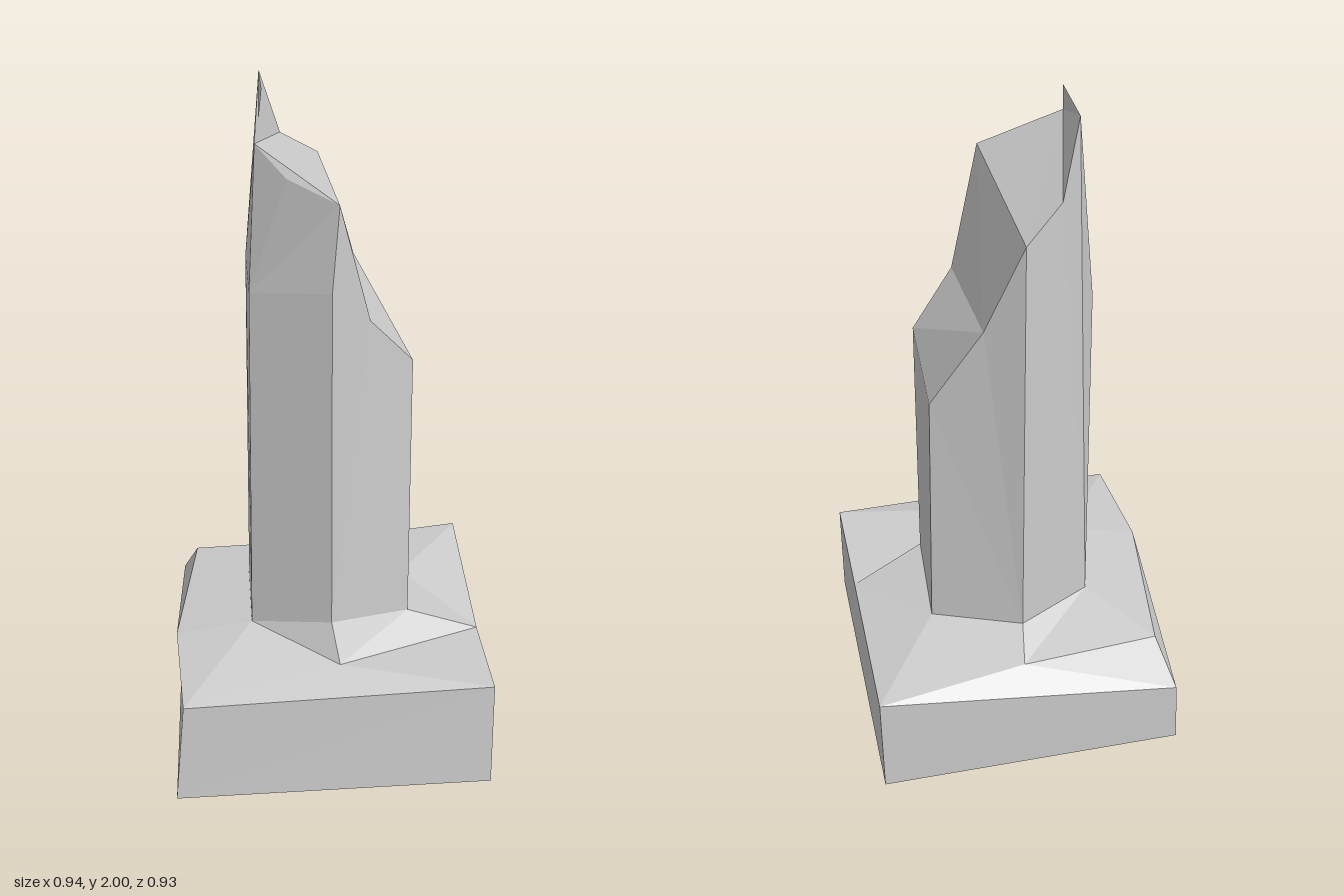
import * as THREE from 'three';

// Flat-shaded mesh from named corners; each face is a fan round its first corner
function facetMesh(name, corners, faces, material) {
  const positions = [];
  for (const face of faces) {
    const ids = face.split(' ');
    for (let i = 1; i < ids.length - 1; i++) {
      for (const id of [ids[0], ids[i], ids[i + 1]]) positions.push(...corners[id]);
    }
  }
  const geometry = new THREE.BufferGeometry();
  geometry.setAttribute('position', new THREE.Float32BufferAttribute(positions, 3));
  geometry.computeVertexNormals();
  const mesh = new THREE.Mesh(geometry, material);
  mesh.name = name;
  return mesh;
}

export function createModel() {
  const stone = new THREE.MeshStandardMaterial({ color: 0xcccccc });
  stone.name = 'paleStone';

  // Foot of the six-sided column, where it meets the plinth
  const foot = {
    footE: [-0.23, 0.39, 0.13], footD: [0, 0.46, 0.26], footC: [0.24, 0.41, 0.135],
    footB: [0.255, 0.37, -0.145], footA: [0, 0.4, -0.275], footF: [-0.228, 0.385, -0.145],
  };

  // Broken column: corners of the shaft, slight bends and the jagged top
  const shaft = {
    ...foot,
    midE: [-0.217, 1.46, 0.132], midD: [0, 1.5, 0.258], midF: [-0.217, 1.46, -0.142],
    topE: [-0.195, 1.88, 0.14], topD: [0.02, 1.745, 0.25], topC: [0.237, 1.24, 0.13],
    topB: [0.24, 1.16, -0.135], topA: [0, 1.72, -0.275], topF: [-0.17, 2, -0.135],
    peak: [-0.17, 2, 0.05], chipBack: [-0.11, 1.8, -0.21], chipFront: [-0.115, 1.8, 0.192],
    stepFront: [0.11, 1.39, 0.19], stepBack: [0.1, 1.43, -0.21],
  };
  const column = facetMesh('brokenColumn', shaft, [
    // walls
    'midE footE footD midD topD chipFront topE',
    'footD footC topC stepFront topD midD',
    'footC footB topB topC',
    'footA topA stepBack topB footB',
    'footF midF topF chipBack topA footA',
    'midF footF footE midE topE peak topF',
    // fracture surfaces
    'topE chipBack topF peak',
    'topE chipFront topD topA chipBack',
    'topD stepFront stepBack topA',
    'stepFront topC stepBack',
    'topC topB stepBack',
  ], stone);

  // Rough plinth: low corners, upper corners and chipped points
  const block = {
    ...foot,
    lowFL: [-0.47, 0.005, 0.465], lowFR: [0.46, 0, 0.45],
    lowBR: [0.465, 0, -0.46], lowBL: [-0.45, 0, -0.46],
    FL: [-0.44, 0.32, 0.455], FR: [0.46, 0.33, 0.435],
    BR: [0.468, 0.345, -0.465], BL: [-0.435, 0.22, -0.465],
    leftEdge: [-0.457, 0.345, 0.115], rightEdge: [0.46, 0.31, 0.1],
    notch: [0.02, 0.355, 0.325], chip: [-0.39, 0.35, -0.365], ridge: [0.02, 0.345, -0.39],
  };
  const plinth = facetMesh('plinth', block, [
    // underside and sides
    'lowFL lowBL lowBR lowFR',
    'lowFL lowFR FR FL',
    'lowFR lowBR BR rightEdge FR',
    'lowBR lowBL BL BR',
    'lowBL lowFL FL leftEdge BL',
    // front of the upper surface
    'leftEdge FL footE', 'FL notch footE', 'FL FR notch', 'FR rightEdge notch',
    'notch rightEdge footC', 'notch footC footD', 'footE notch footD',
    // right, back and left of the upper surface
    'rightEdge BR footB', 'rightEdge footB footC', 'BR ridge footB', 'ridge footA footB',
    'ridge chip footF', 'ridge footF footA', 'chip leftEdge footE', 'chip footE footF',
    // chipped rear corner
    'BR BL ridge', 'BL chip ridge', 'BL leftEdge chip',
  ], stone);

  const model = new THREE.Group();
  model.name = 'brokenPillar';
  model.add(column, plinth);
  return model;
}
